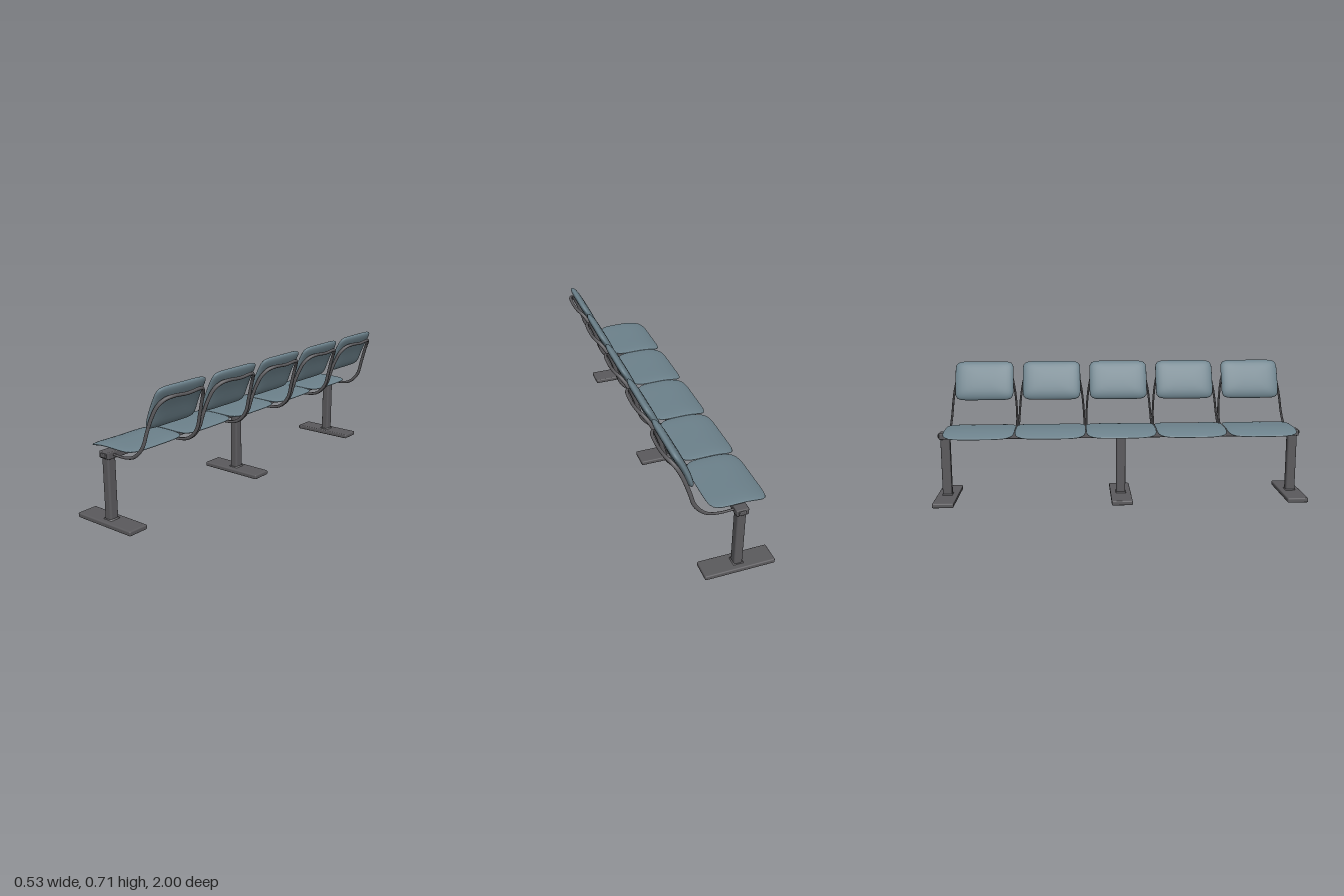
import * as THREE from 'three';
import { mergeVertices } from 'three/addons/utils/BufferGeometryUtils.js';
import { RoundedBoxGeometry } from 'three/addons/geometries/RoundedBoxGeometry.js';

const SEATS = 5, PITCH = 0.378;

// Pillow with a rounded-square outline: half sizes a (x), h (y), b (z), then bent by a rule
function cushion(a, h, b, n, bend) {
  const radii = [0, 0.2, 0.4, 0.6, 0.75, 0.86, 0.93, 0.97, 0.99];
  const rise = r => h * Math.sqrt(1 - r ** 5);
  const profile = [
    ...radii.map(r => new THREE.Vector2(r, -rise(r))),
    new THREE.Vector2(1, 0),
    ...radii.slice().reverse().map(r => new THREE.Vector2(r, rise(r))),
  ];
  let geo = new THREE.LatheGeometry(profile, 64);
  const p = geo.attributes.position;
  for (let i = 0; i < p.count; i++) {
    const x = p.getX(i), z = p.getZ(i), r = Math.hypot(x, z);
    const k = r < 1e-6 ? 1 : r / (Math.abs(x) ** n + Math.abs(z) ** n) ** (1 / n);
    const u = x * k, v = z * k;
    p.setXYZ(i, u * a, p.getY(i) + bend(u * a, v), v * b);
  }
  geo.deleteAttribute('uv');
  geo.deleteAttribute('normal');
  geo = mergeVertices(geo, 1e-5);
  geo.computeVertexNormals();
  return geo;
}

// Bent oval bar: both sides rise from the beam and join behind the backrest
function frameGeometry() {
  const side = [
    [-0.06, 0.354, 0.182], [0.02, 0.354, 0.184], [0.08, 0.368, 0.184],
    [0.119, 0.398, 0.183], [0.147, 0.438, 0.181], [0.167, 0.503, 0.176],
    [0.191, 0.575, 0.166], [0.214, 0.627, 0.152], [0.236, 0.657, 0.126],
    [0.253, 0.668, 0.088],
  ].map(q => new THREE.Vector3(...q));
  const mirrored = side.map(q => new THREE.Vector3(q.x, q.y, -q.z)).reverse();
  const path = new THREE.CatmullRomCurve3([...side, new THREE.Vector3(0.257, 0.664, 0), ...mirrored]);
  const segs = 96, ring = 11;
  const geo = new THREE.TubeGeometry(path, segs, 0.01, ring - 1);
  const p = geo.attributes.position;
  for (let i = 0; i < p.count; i++) {
    const t = Math.floor(i / ring) / segs;
    const c = path.getPointAt(t);
    // slimmer at the beam ends and along the top
    const s = THREE.MathUtils.lerp(0.6, 1, THREE.MathUtils.smoothstep(Math.min(t, 1 - t), 0.02, 0.2))
      - 0.15 * THREE.MathUtils.smoothstep(Math.min(t, 1 - t), 0.38, 0.45);
    p.setXYZ(i, c.x + (p.getX(i) - c.x) * s, c.y + (p.getY(i) - c.y) * s, c.z + (p.getZ(i) - c.z) * 0.58);
  }
  geo.computeVertexNormals();
  return geo;
}

export function createModel() {
  const metal = new THREE.MeshStandardMaterial({ color: 0x5b5a5d });
  metal.name = 'dark grey metal';
  const fabric = new THREE.MeshStandardMaterial({ color: 0x6c818b });
  fabric.name = 'blue grey upholstery';

  const model = new THREE.Group();
  model.name = 'seatRow';
  const add = (parent, name, geo, mat, x, y, z) => {
    const mesh = new THREE.Mesh(geo, mat);
    mesh.name = name;
    mesh.position.set(x, y, z);
    parent.add(mesh);
    return mesh;
  };

  // Beam under the seats, with small end caps
  add(model, 'beam', new RoundedBoxGeometry(0.064, 0.035, 1.95, 3, 0.005), metal, -0.083, 0.3525, 0);
  for (const s of [1, -1]) {
    add(model, 'beamEndCap', new RoundedBoxGeometry(0.036, 0.02, 0.02, 2, 0.004), metal, -0.08, 0.3525, s * 0.973);
  }

  // Three legs, each with a flared base and a long foot
  const postGeo = new RoundedBoxGeometry(0.045, 0.325, 0.05, 4, 0.01);
  const flareGeo = new THREE.CylinderGeometry(0.033, 0.04, 0.008, 4, 1, true).rotateY(Math.PI / 4);
  const footGeo = new RoundedBoxGeometry(0.367, 0.025, 0.112, 4, 0.007);
  for (const z of [-0.944, 0, 0.944]) {
    const leg = new THREE.Group();
    leg.name = 'leg';
    leg.position.z = z;
    model.add(leg);
    add(leg, 'post', postGeo, metal, -0.083, 0.181, 0);
    add(leg, 'postFlare', flareGeo, metal, -0.083, 0.028, 0);
    add(leg, 'foot', footGeo, metal, -0.082, 0.0125, 0);
  }

  // Seat pad droops at its front edge; back pad bulges slightly forward
  const seatGeo = cushion(0.148, 0.0105, 0.188, 6, (x, v) => {
    const front = Math.max(0, -x - 0.012), rear = Math.max(0, x + 0.012);
    return -1.26 * front * front - 0.2 * rear * rear + 0.003 * (v * v - 1);
  });
  const backGeo = cushion(0.114, 0.0205, 0.163, 8, x => 0.005 - 0.6 * x * x);
  const frameGeo = frameGeometry();

  for (let i = 0; i < SEATS; i++) {
    const chair = new THREE.Group();
    chair.name = 'chair';
    chair.position.z = (i - (SEATS - 1) / 2) * PITCH;
    model.add(chair);
    add(chair, 'seatPad', seatGeo, fabric, -0.0875, 0.385, 0);
    const back = add(chair, 'backPad', backGeo, fabric, 0.185, 0.611, 0);
    back.rotation.z = THREE.MathUtils.degToRad(66);
    add(chair, 'backFrame', frameGeo, metal, 0, 0, 0);
  }
  return model;
}
